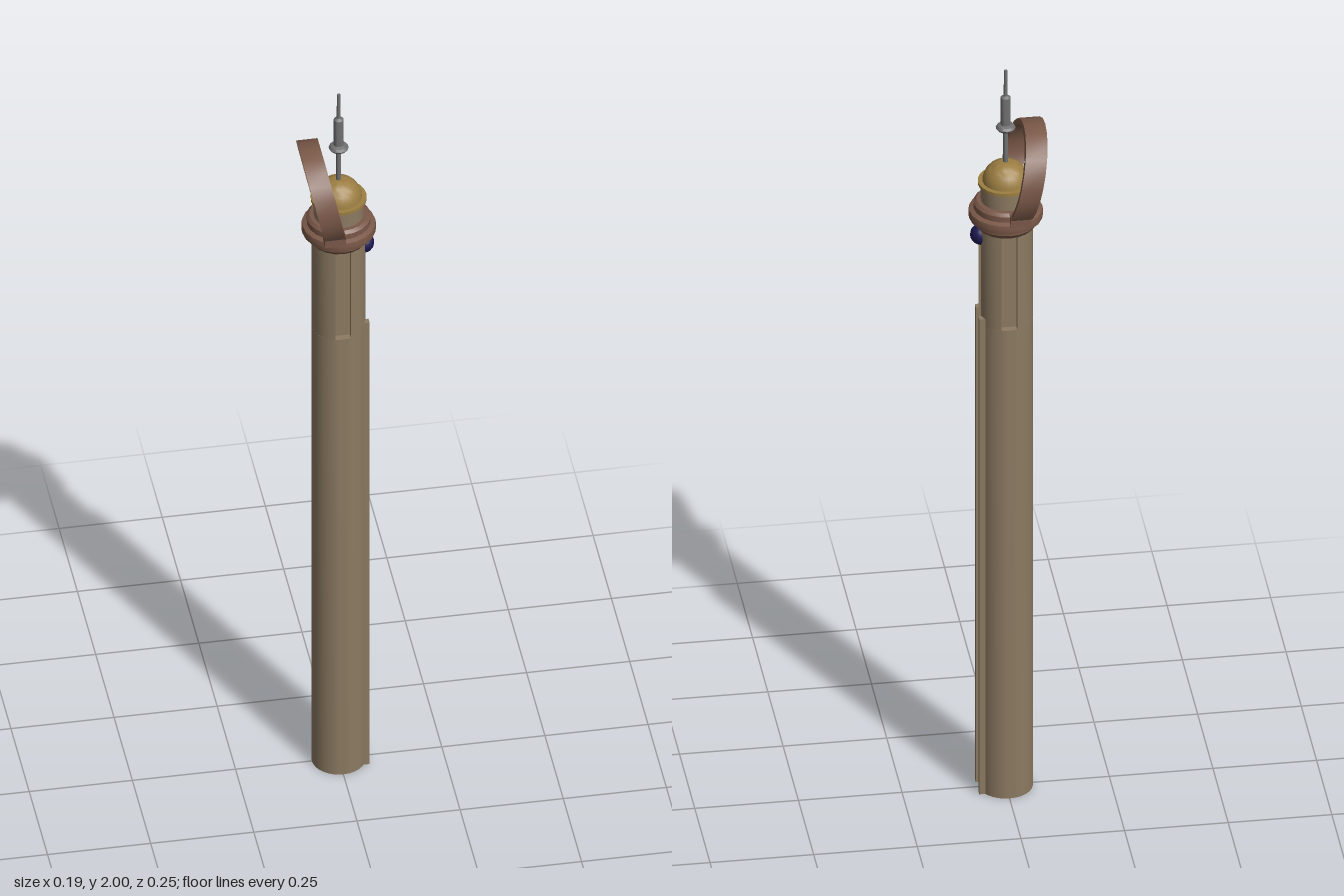
import * as THREE from 'three';
import { toCreasedNormals } from 'three/addons/utils/BufferGeometryUtils.js';

const mat = (color) => new THREE.MeshStandardMaterial({ color });
const R = 0.065, SLOT = 0.019, FLOOR = 0.047;

// Round shaft section with straight grooves cut at the given angles
function groovedSection(angles, y0, y1) {
  const shape = new THREE.Shape();
  const d = Math.asin(SLOT / R);
  const pts = [];
  angles.forEach((a, i) => {
    const next = i + 1 < angles.length ? angles[i + 1] : angles[0] + Math.PI * 2;
    for (const s of [-1, 1]) {
      pts.push([FLOOR * Math.cos(a) - s * SLOT * Math.sin(a), FLOOR * Math.sin(a) + s * SLOT * Math.cos(a)]);
    }
    const from = a + d, to = next - d;
    const n = Math.max(4, Math.round((to - from) / 0.2));
    for (let k = 0; k <= n; k++) {
      const t = from + ((to - from) * k) / n;
      pts.push([R * Math.cos(t), R * Math.sin(t)]);
    }
  });
  pts.forEach(([x, y], i) => (i ? shape.lineTo(x, y) : shape.moveTo(x, y)));
  shape.closePath();
  const g = new THREE.ExtrudeGeometry(shape, { depth: y1 - y0, bevelEnabled: false });
  g.rotateX(-Math.PI / 2).translate(0, y0, 0);
  return toCreasedNormals(g, 0.5);
}

function lathe(points, segments) {
  const g = new THREE.LatheGeometry(points.map(([r, y]) => new THREE.Vector2(r, y)), segments);
  return toCreasedNormals(g, 0.5);
}

export function createModel() {
  const group = new THREE.Group();
  const stone = mat(0x8c7a62), copper = mat(0x7a5848), brass = mat(0x9c7e42);
  const steel = mat(0x707070), blue = mat(0x1c1850);
  const add = (name, geometry, material) => {
    const mesh = new THREE.Mesh(geometry, material);
    mesh.name = name;
    group.add(mesh);
    return mesh;
  };

  // Shaft: one full-height groove on +x, short grooves front and back near the top
  add('lowerShaft', groovedSection([0], 0, 1.31), stone);
  add('upperShaft', groovedSection([0, Math.PI / 2, Math.PI * 1.5], 1.31, 1.575), stone);

  // Raised lips beside the long groove, and its inlaid strip
  for (const s of [-1, 1]) {
    add('grooveLip', new THREE.BoxGeometry(0.025, 1.33, 0.016).translate(0.0565, 0.665, s * 0.028), stone);
  }
  add('grooveStrip', new THREE.BoxGeometry(0.006, 1.56, 0.036).translate(0.048, 0.78, 0), steel);

  // Jewel at the head of the long groove
  add('jewel', new THREE.SphereGeometry(0.026, 14, 10).translate(0.06, 1.547, 0), blue);

  // Stepped collar
  add('collar', lathe([
    [0, 1.57], [0.068, 1.57], [0.077, 1.582], [0.077, 1.59], [0.088, 1.594], [0.09, 1.605],
    [0.088, 1.616], [0.077, 1.62], [0.077, 1.635], [0.07, 1.642], [0, 1.642],
  ], 20), copper);

  // Neck and domed cap
  add('neck', lathe([[0.06, 1.63], [0.06, 1.69], [0, 1.69]], 24), stone);
  add('capRim', lathe([[0, 1.686], [0.067, 1.686], [0.067, 1.694], [0, 1.694]], 24), brass);
  const dome = [];
  for (let i = 0; i <= 8; i++) {
    const a = (i / 8) * Math.PI / 2;
    dome.push([0.056 * Math.cos(a), 1.692 + 0.054 * Math.sin(a)]);
  }
  add('dome', lathe(dome, 24), brass);

  // Spire
  add('spire', lathe([
    [0, 1.73], [0.006, 1.73], [0.006, 1.832], [0.02, 1.835], [0.024, 1.841], [0.02, 1.847],
    [0.012, 1.85], [0.012, 1.925], [0.005, 1.93], [0.004, 2], [0, 2],
  ], 14), steel);

  // Carrying hoop: a flat band, open at the collar, leaning towards -x
  const band = new THREE.Shape();
  const cy = 1.717, steps = 16, a0 = -0.72, a1 = Math.PI + 0.72;
  for (let i = 0; i <= steps * 2 + 1; i++) {
    const outer = i <= steps;
    const t = a0 + ((a1 - a0) * (outer ? i : steps * 2 + 1 - i)) / steps;
    const r = outer ? 0.125 : 0.112;
    const p = [r * Math.cos(t), cy + r * Math.sin(t)];
    if (i) band.lineTo(...p); else band.moveTo(...p);
  }
  band.closePath();
  const hoop = new THREE.ExtrudeGeometry(band, { depth: 0.052, bevelEnabled: false });
  hoop.rotateY(-Math.PI / 2);
  const pos = hoop.attributes.position;
  for (let i = 0; i < pos.count; i++) {
    pos.setX(i, pos.getX(i) + 0.002 - (pos.getY(i) - 1.63) * 0.215);
  }
  add('hoop', toCreasedNormals(hoop, 0.3), copper);

  // Pivot blocks joining the hoop to the collar
  for (const s of [-1, 1]) {
    add('hoopPivot', new THREE.BoxGeometry(0.05, 0.03, 0.03).translate(-0.024, 1.628, s * 0.078), copper);
  }
  return group;
}
